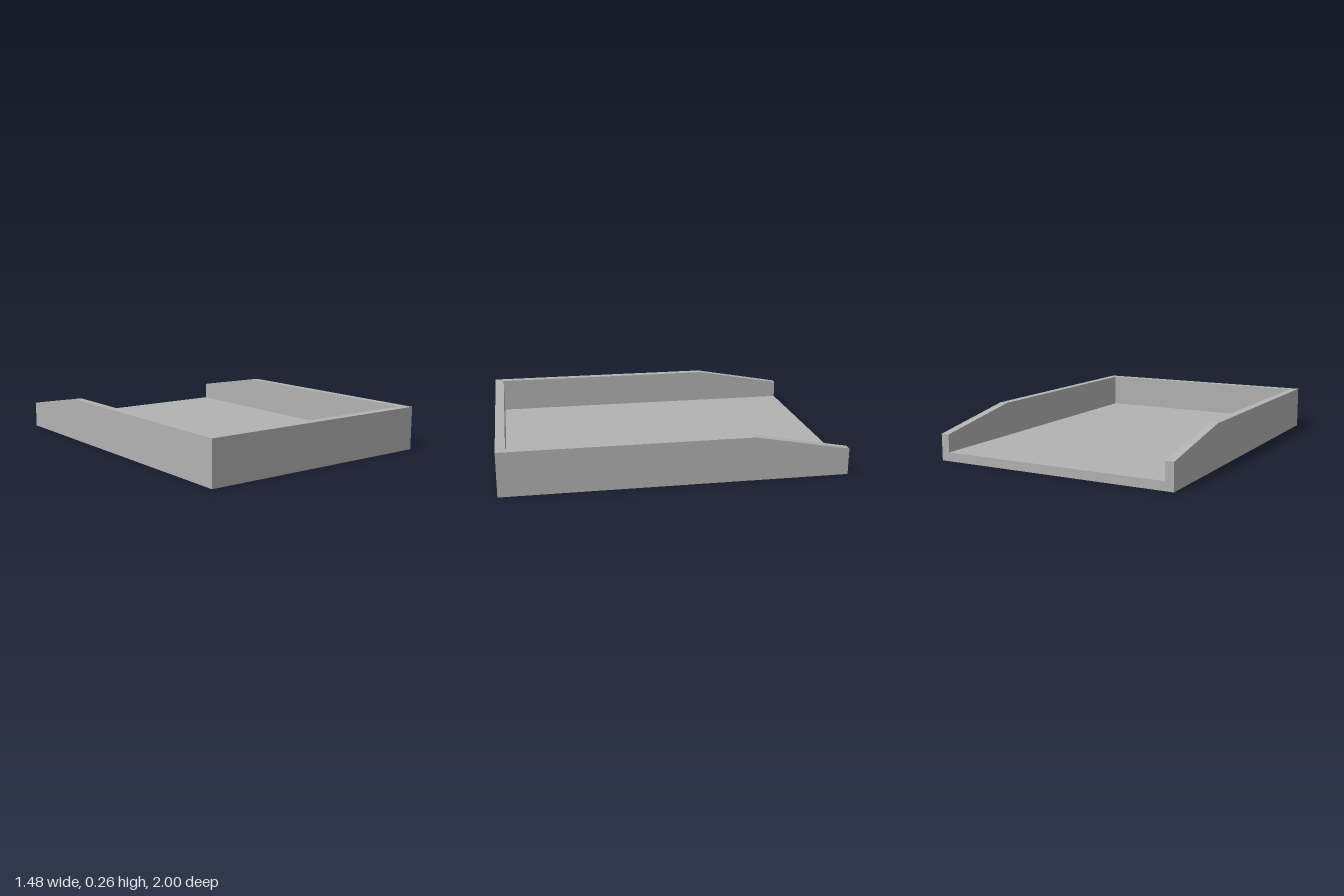
import * as THREE from 'three';

const W = 0.74, H = 0.258, BACK_H = 0.157; // half width, wall height, height at the open end
const SIDE = 0.05, FRONT = 0.055, FLOOR = 0.052; // thicknesses

export function createModel() {
  const group = new THREE.Group();
  const grey = new THREE.MeshStandardMaterial({ color: 0xb2b2b2 });
  grey.name = 'grey';

  const add = (name, geometry, x, y, z) => {
    const mesh = new THREE.Mesh(geometry, grey);
    mesh.name = name;
    mesh.position.set(x, y, z);
    group.add(mesh);
  };

  // Tray floor and front wall, fitted between the side walls
  const inner = 2 * (W - SIDE);
  add('floor', new THREE.BoxGeometry(inner, FLOOR, 2 - FRONT), 0, FLOOR / 2, -FRONT / 2);
  add('frontWall', new THREE.BoxGeometry(inner, H, FRONT), 0, H / 2, 1 - FRONT / 2);

  // Side walls: profile in (z, y), sloping down towards the open back
  const profile = new THREE.Shape([
    [-1, 0], [1, 0], [1, H], [-0.44, H], [-1, BACK_H],
  ].map(([z, y]) => new THREE.Vector2(z, y)));
  const wall = new THREE.ExtrudeGeometry(profile, { depth: SIDE, bevelEnabled: false });
  wall.rotateY(-Math.PI / 2); // now spans x from -SIDE to 0
  add('leftWall', wall, W, 0, 0);
  add('rightWall', wall, -W + SIDE, 0, 0);

  return group;
}
